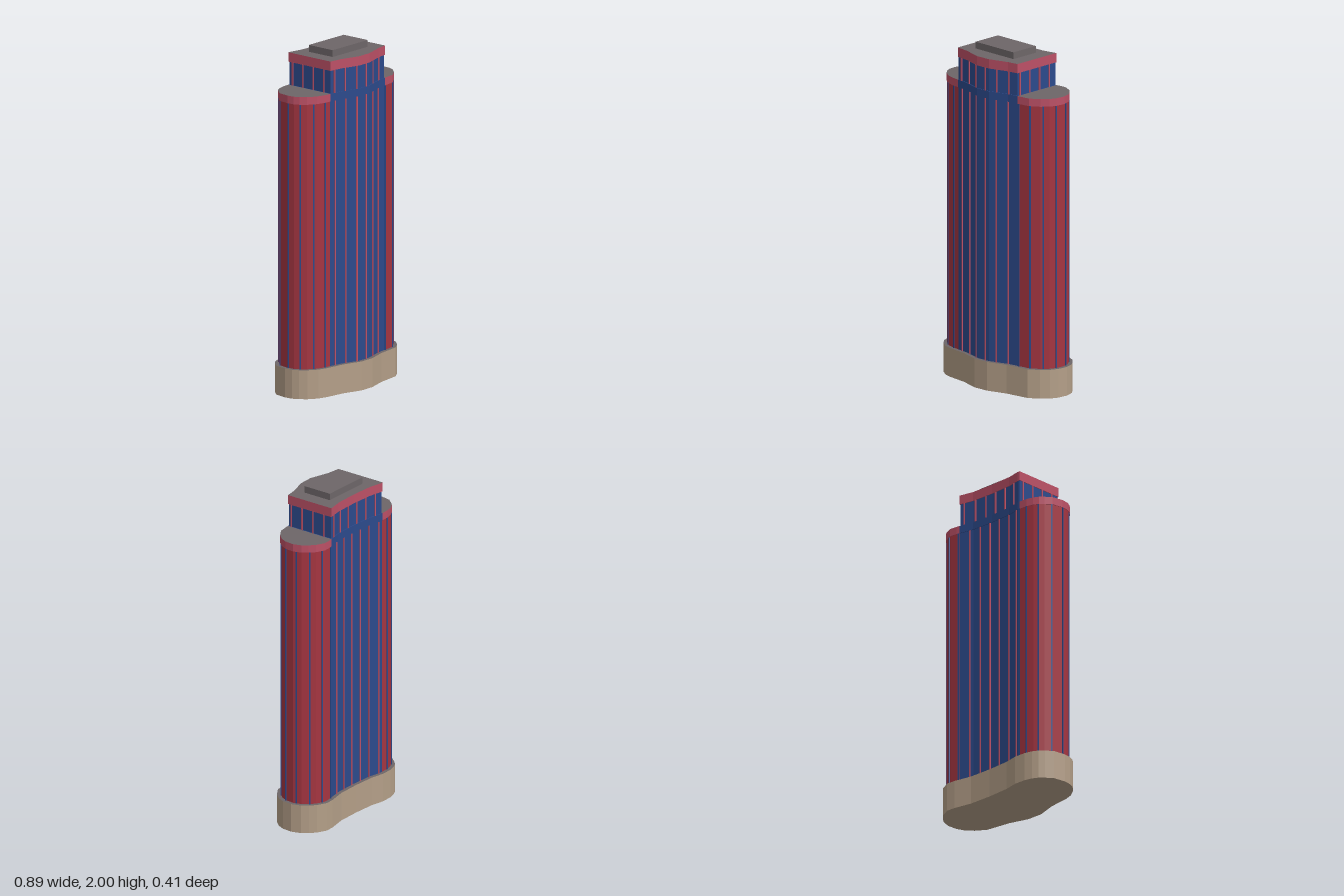
import * as THREE from 'three';

const mat = (name, color) => {
  const m = new THREE.MeshStandardMaterial({ color, flatShading: true });
  m.name = name;
  return m;
};

// Footprint [x, z], from the left end along the back and round the front
const FOOTPRINT = [
  [-0.447, -0.024], [-0.433, -0.1], [-0.4, -0.14], [-0.375, -0.165], [-0.34, -0.183],
  [-0.294, -0.195], [-0.222, -0.198], [-0.14, -0.182], [0, -0.176], [0.143, -0.18],
  [0.253, -0.202], [0.308, -0.205], [0.366, -0.178], [0.4, -0.146], [0.428, -0.11],
  [0.446, -0.053], [0.44, 0.01], [0.42, 0.055], [0.382, 0.098], [0.322, 0.138],
  [0.174, 0.16], [0.054, 0.197], [-0.042, 0.2], [-0.16, 0.165], [-0.29, 0.149],
  [-0.342, 0.134], [-0.395, 0.098], [-0.426, 0.06], [-0.442, 0.024],
].map(([x, z]) => new THREE.Vector2(x, -z));
const X0 = -0.24, X1 = 0.235; // sides of the glass core

// Moves every outline edge inward by d, with mitred corners
function inset(points, d) {
  const n = points.length;
  const normal = (a, b) => new THREE.Vector2(b.y - a.y, a.x - b.x).normalize();
  return points.map((p, i) => {
    const n1 = normal(points[(i + n - 1) % n], p);
    const n2 = normal(p, points[(i + 1) % n]);
    return n1.clone().add(n2).multiplyScalar(d / (1 + n1.dot(n2))).add(p);
  });
}

// Keeps the part of an outline on one side of x = limit
function clipSide(points, limit, sign) {
  const out = [];
  points.forEach((p, i) => {
    const q = points[(i + 1) % points.length];
    const a = (p.x - limit) * sign, b = (q.x - limit) * sign;
    if (a >= 0) out.push(p.clone());
    if (a * b < 0) out.push(p.clone().lerp(q, a / (a - b)));
  });
  return out;
}
const slice = (points, x0, x1) => clipSide(clipSide(points, x0, 1), x1, -1);

// Upright prism with separate materials for bottom, top and walls
function prism(name, points, y0, y1, wall, top = wall, bottom = wall) {
  const geo = new THREE.ExtrudeGeometry(new THREE.Shape(points), { depth: y1 - y0, bevelEnabled: false });
  geo.rotateX(-Math.PI / 2);
  const [caps, sides] = geo.groups.map((g) => ({ ...g }));
  geo.clearGroups();
  geo.addGroup(0, caps.count / 2, 0);
  geo.addGroup(caps.count / 2, caps.count / 2, 1);
  geo.addGroup(sides.start, sides.count, 2);
  const mesh = new THREE.Mesh(geo, [bottom, top, wall]);
  mesh.name = name;
  mesh.position.y = y0;
  return mesh;
}

// Upright mullions evenly spaced along an outline, counted from the front
function mullions(name, points, y0, y1, coreMaterial, wingMaterial) {
  const group = new THREE.Group();
  group.name = name;
  const path = new THREE.Path(points);
  path.closePath();
  const front = new THREE.Vector2(0.022, -0.18);
  let start = 0, best = Infinity;
  for (let t = 0; t < 1; t += 0.001) {
    const d = path.getPoint(t).distanceTo(front);
    if (d < best) [start, best] = [t, d];
  }
  const geo = new THREE.BoxGeometry(0.008, y1 - y0, 0.01);
  const count = Math.round(path.getLength() / 0.077);
  for (let i = 0; i < count; i++) {
    const t = (start + i / count) % 1;
    const p = path.getPoint(t), dir = path.getTangent(t);
    const inCore = p.x > X0 && p.x < X1;
    const fin = new THREE.Mesh(geo, inCore ? coreMaterial : wingMaterial);
    fin.name = 'mullion';
    fin.position.set(p.x, (y0 + y1) / 2, -p.y);
    fin.rotation.y = Math.atan2(dir.y, dir.x);
    group.add(fin);
  }
  return group;
}

export function createModel() {
  const red = mat('red cladding', 0xa53541);
  const trim = mat('rose trim', 0xbc5066);
  const blue = mat('blue glass', 0x2c4a8c);
  const grey = mat('grey roof', 0x6d6668);
  const tan = mat('tan stone', 0xb49f88);

  const BASE = 0.17, EAVE = 1.725, WING = 1.77, CROWN = 1.905, ROOF = 1.96;
  const body = inset(FOOTPRINT, 0.022);
  const rim = inset(FOOTPRINT, 0.018);

  const tower = new THREE.Group();
  tower.name = 'tower';

  // Stone plinth
  tower.add(prism('base', FOOTPRINT, 0, BASE, tan, grey));

  // Rounded end wings with trim bands and flat roofs
  for (const [side, x0, x1] of [['right', -1, X0], ['left', X1, 1]]) {
    tower.add(prism(side + 'Wing', slice(body, x0, x1), BASE, EAVE, red));
    tower.add(prism(side + 'WingTrim', slice(rim, x0, x1), EAVE, WING, trim, grey));
  }

  // Glass core, its spandrel band and the raised crown
  const crown = slice(body, X0 + 0.004, X1 - 0.004);
  tower.add(prism('core', slice(body, X0, X1), BASE, EAVE, blue));
  tower.add(prism('coreBand', slice(rim, X0, X1), EAVE, WING, blue));
  tower.add(prism('crown', crown, WING, CROWN, blue));
  tower.add(prism('crownTrim', slice(rim, X0, X1), CROWN, ROOF, trim, grey));

  // Mullions all round: rose over the glass, blue over the red wings
  tower.add(mullions('shaftMullions', body, BASE, EAVE, trim, blue));
  tower.add(mullions('crownMullions', crown, WING, CROWN, trim, trim));

  // Rooftop plant box
  const plant = new THREE.Mesh(new THREE.BoxGeometry(0.303, 2 - ROOF, 0.18), grey);
  plant.name = 'rooftopBox';
  plant.position.set(-0.003, (2 + ROOF) / 2, -0.011);
  tower.add(plant);

  return tower;
}
